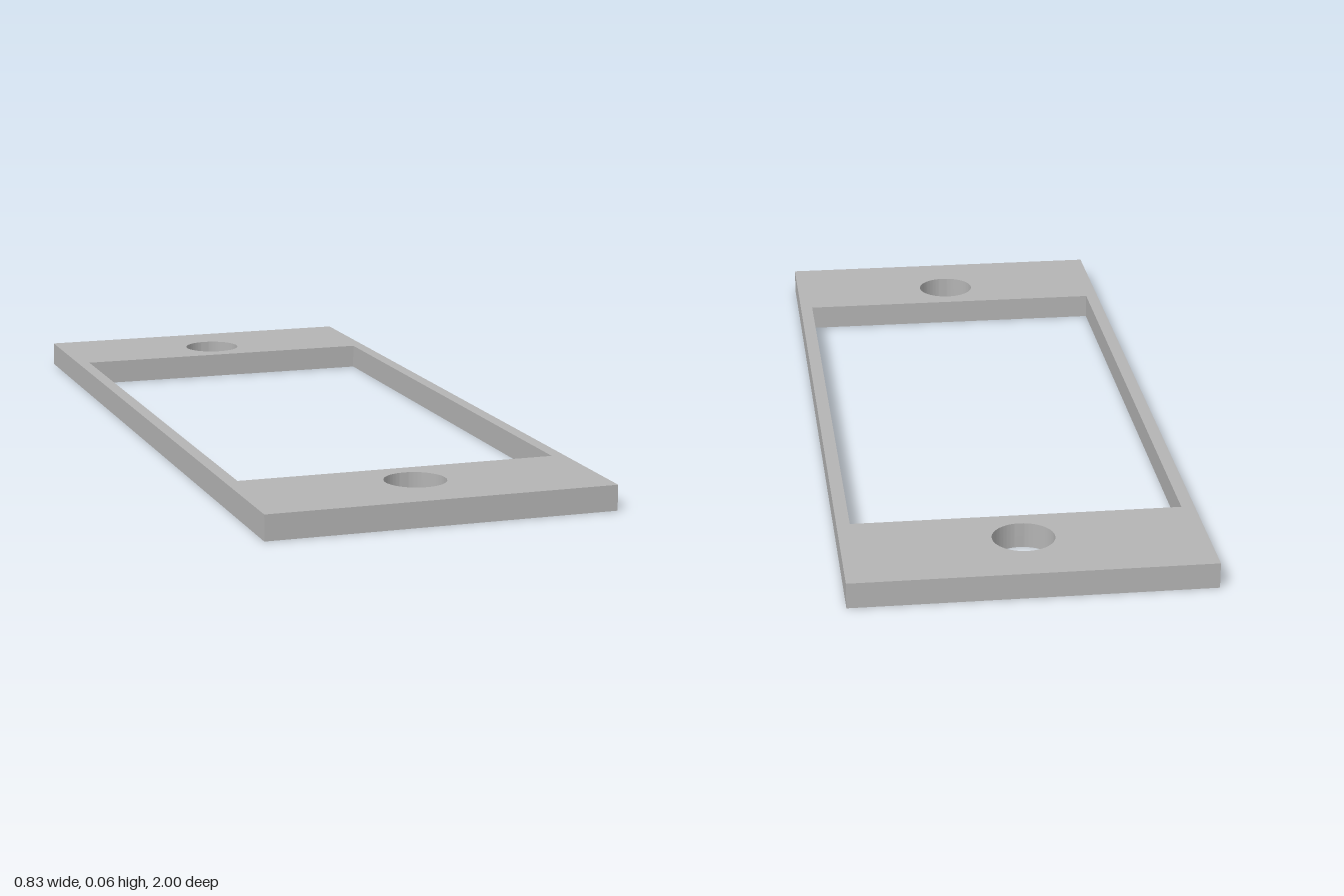
import * as THREE from 'three';
import { toCreasedNormals } from 'three/addons/utils/BufferGeometryUtils.js';

const HEIGHT = 0.06;

// Traces a centred rectangle onto a shape or path
function rectangle(path, halfX, halfZ) {
  path.moveTo(-halfX, -halfZ);
  path.lineTo(halfX, -halfZ);
  path.lineTo(halfX, halfZ);
  path.lineTo(-halfX, halfZ);
  path.closePath();
  return path;
}

export function createModel() {
  const group = new THREE.Group();
  group.name = 'mountingFrame';
  const grey = new THREE.MeshStandardMaterial({ color: 0xb4b4b4 });
  grey.name = 'grey';

  // Plate outline with the large central window
  const outline = rectangle(new THREE.Shape(), 0.415, 1);
  outline.holes.push(rectangle(new THREE.Path(), 0.384, 0.7));

  // One round screw hole at each end
  for (const side of [-1, 1]) {
    outline.holes.push(new THREE.Path().absarc(0, side * 0.815, 0.072, 0, Math.PI * 2, true));
  }

  // Extrude upwards from the ground, keeping sharp edges and smooth bores
  const geometry = new THREE.ExtrudeGeometry(outline, {
    depth: HEIGHT, bevelEnabled: false, curveSegments: 48,
  });
  geometry.rotateX(-Math.PI / 2);
  const plate = new THREE.Mesh(toCreasedNormals(geometry, Math.PI / 6), grey);
  plate.name = 'framePlate';
  group.add(plate);
  return group;
}
